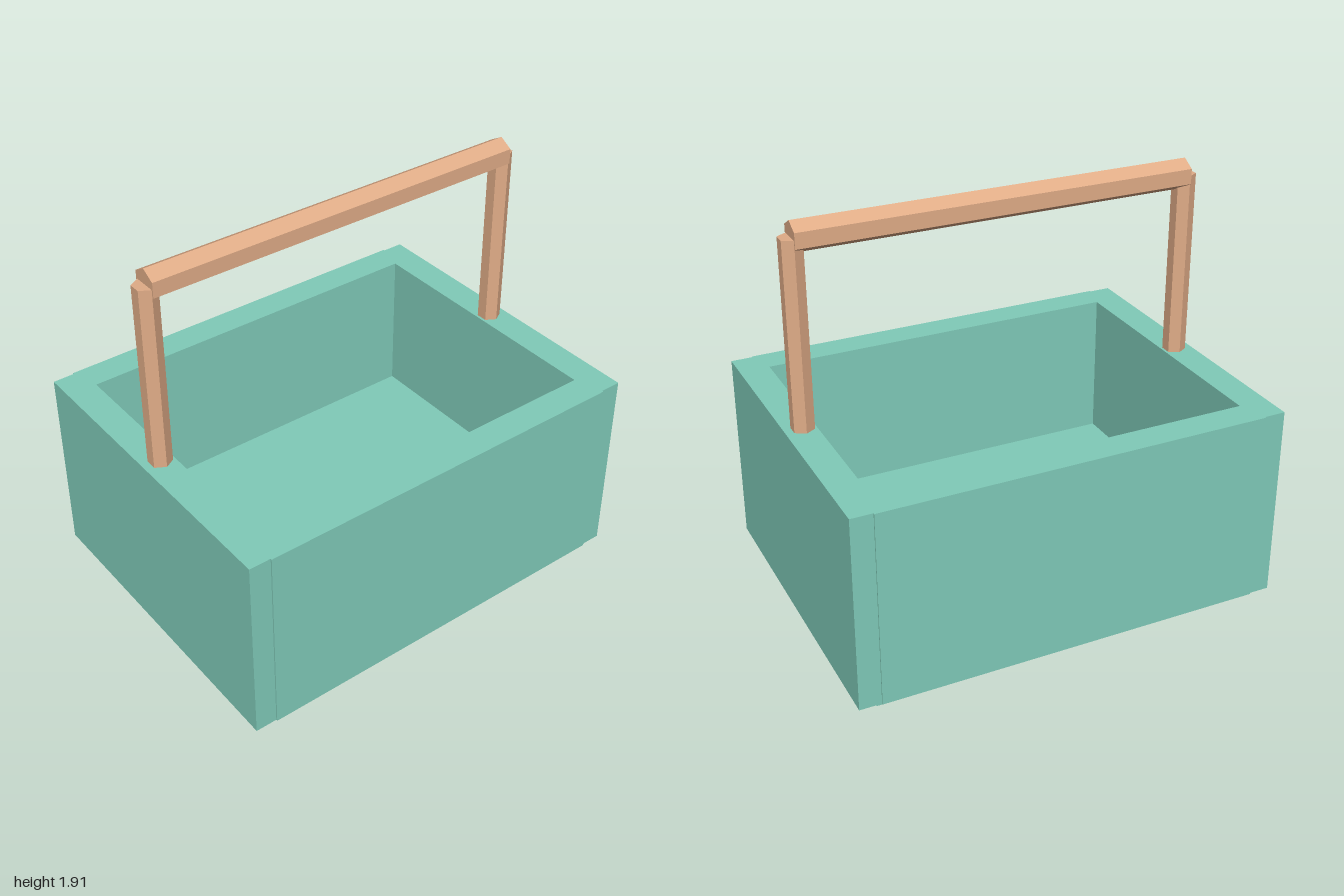
import * as THREE from 'three';

export function createModel() {
  const model = new THREE.Group();
  const teal = new THREE.MeshStandardMaterial({ name: 'teal', color: 0x80cbb9, flatShading: true });
  const wood = new THREE.MeshStandardMaterial({ name: 'wood', color: 0xe0ac87, flatShading: true });

  const add = (name, geometry, material, x, y, z) => {
    const mesh = new THREE.Mesh(geometry, material);
    mesh.name = name;
    mesh.position.set(x, y, z);
    model.add(mesh);
    return mesh;
  };

  // Thick walls: long panels stand slightly proud of the end panels
  const outline = [
    [1, -0.768], [1, 0.768], [0.9, 0.768], [0.9, 0.775], [-0.9, 0.775], [-0.9, 0.768],
    [-1, 0.768], [-1, -0.768], [-0.9, -0.768], [-0.9, -0.775], [0.9, -0.775], [0.9, -0.768],
  ];
  const ring = new THREE.Shape(outline.map(([x, z]) => new THREE.Vector2(x, z)));
  const opening = [[0.86, -0.634], [-0.86, -0.634], [-0.86, 0.634], [0.86, 0.634]];
  ring.holes.push(new THREE.Path(opening.map(([x, z]) => new THREE.Vector2(x, z))));
  const walls = new THREE.ExtrudeGeometry(ring, { depth: 0.91, bevelEnabled: false });
  walls.rotateX(-Math.PI / 2);
  add('basketWalls', walls, teal, 0, 0.075, 0);

  // Raised floor that continues below the walls as an inset foot
  add('basketFloor', new THREE.BoxGeometry(1.79, 0.29, 1.372), teal, 0, 0.145, 0);

  // Hexagonal handle posts
  for (const side of [-1, 1]) {
    const post = new THREE.CylinderGeometry(0.053, 0.053, 0.895, 6);
    add(side > 0 ? 'leftHandlePost' : 'rightHandlePost', post, wood, side * 0.918, 1.3975, 0);
  }

  // Hexagonal grip with an edge along its top
  const grip = new THREE.CylinderGeometry(0.07, 0.07, 1.836, 6, 1, false, Math.PI / 6);
  grip.rotateZ(Math.PI / 2);
  add('handleGrip', grip, wood, 0, 1.845, 0);

  return model;
}
